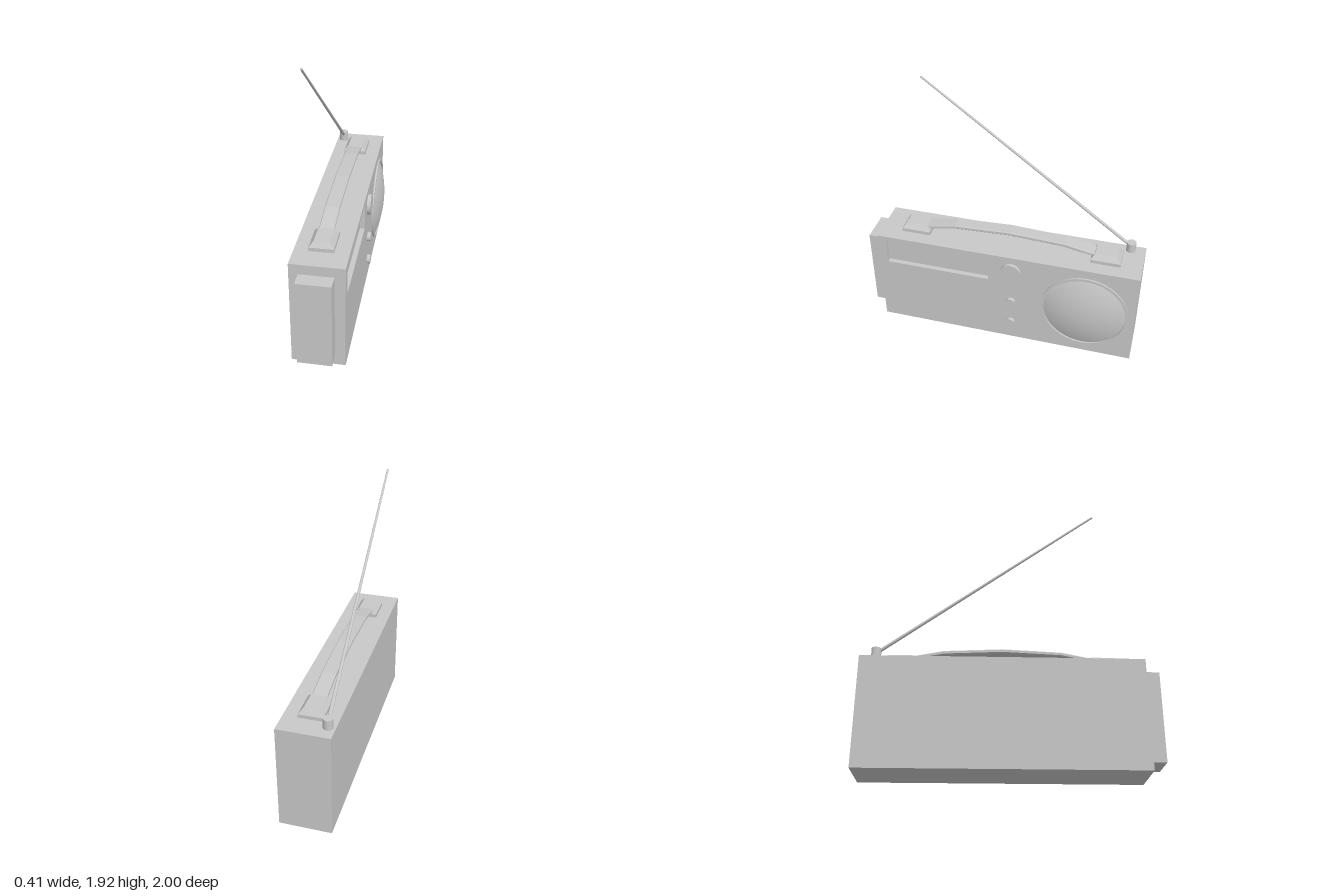
import * as THREE from 'three';

export function createModel() {
  const radio = new THREE.Group();
  radio.name = 'portableRadio';
  const grey = new THREE.MeshStandardMaterial({ color: 0xc8c8c8 });
  grey.name = 'plainGrey';

  const add = (name, geometry, x = 0, y = 0, z = 0, parent = radio) => {
    const mesh = new THREE.Mesh(geometry, grey);
    mesh.name = name;
    mesh.position.set(x, y, z);
    parent.add(mesh);
    return mesh;
  };
  const points = (list) => list.map(([z, y]) => new THREE.Vector2(z, y));
  const rect = (z0, y0, z1, y1) => points([[z0, y0], [z1, y0], [z1, y1], [z0, y1]]);

  // Extrudes a side outline (z, y) along x, ending at x = 0
  const sideExtrude = (shape, options) =>
    new THREE.ExtrudeGeometry(shape, { bevelEnabled: false, ...options }).rotateY(-Math.PI / 2);

  // Turns a cylinder or lathe made along y to point along +x
  const faceSide = (geometry) => geometry.rotateZ(-Math.PI / 2);

  // Case: solid back plus a face panel with a recessed tuning window
  const recess = 0.035;
  add('caseBack', new THREE.BoxGeometry(0.36 - recess, 0.76, 1.9), -0.03 - recess / 2, 0.38, -0.05);
  const panel = new THREE.Shape(rect(-1, 0, 0.9, 0.76));
  panel.holes.push(new THREE.Path(rect(0.07, 0.53, 0.84, 0.725)));
  add('facePanel', sideExtrude(panel, { depth: recess }), 0.15);
  add('endBlock', new THREE.BoxGeometry(0.23, 0.62, 0.1), -0.035, 0.38, 0.95);

  // Speaker: flat rim and domed grille
  const speaker = new THREE.Group();
  speaker.name = 'speaker';
  speaker.position.set(0.15, 0.38, -0.64);
  radio.add(speaker);
  const rim = new THREE.Shape().absarc(0, 0, 0.315, 0, Math.PI * 2);
  rim.holes.push(new THREE.Path().absarc(0, 0, 0.295, 0, Math.PI * 2, true));
  add('speakerRim', sideExtrude(rim, { depth: 0.012, curveSegments: 32 }), 0.012, 0, 0, speaker);
  const baseRadius = 0.295, height = 0.055;
  const sphereRadius = (baseRadius ** 2 + height ** 2) / (2 * height);
  const dome = new THREE.SphereGeometry(sphereRadius, 64, 12, 0, Math.PI * 2, 0,
    Math.asin(baseRadius / sphereRadius));
  dome.translate(0, height - sphereRadius, 0);
  add('speakerDome', faceSide(dome), 0, 0, 0, speaker);

  // Tuning knob and two small knobs
  for (const [name, radius, y] of [['tuningKnob', 0.075, 0.635],
    ['upperKnob', 0.035, 0.355], ['lowerKnob', 0.035, 0.155]]) {
    add(name, faceSide(new THREE.CylinderGeometry(radius, radius, 0.03, 40)), 0.16, y, -0.1);
  }

  // Handle mounts: a low block with a tapered top
  for (const [name, z] of [['frontHandleMount', 0.638], ['rearHandleMount', -0.745]]) {
    const mount = new THREE.Group();
    mount.name = name;
    mount.position.set(-0.0325, 0.76, z);
    radio.add(mount);
    add('mountBase', new THREE.BoxGeometry(0.165, 0.025, 0.21), 0, 0.0125, 0, mount);
    const taper = new THREE.BoxGeometry(0.165, 0.035, 0.21);
    const p = taper.attributes.position;
    for (let i = 0; i < p.count; i++) {
      if (p.getY(i) > 0) {
        p.setX(i, p.getX(i) * 0.64);
        p.setZ(i, p.getZ(i) * 0.76);
      }
    }
    taper.computeVertexNormals();
    add('mountTop', taper, 0, 0.0425, 0, mount);
  }

  // Handle: arched strap with chamfered edges
  const arch = [[-0.7, 0.793], [-0.65, 0.804], [-0.45, 0.844], [-0.05, 0.863],
    [0.35, 0.844], [0.55, 0.804], [0.6, 0.793]];
  const half = 0.008, bevel = 0.006;
  const strap = new THREE.Shape(points([
    ...arch.map(([z, y]) => [z, y - half]),
    ...arch.map(([z, y]) => [z, y + half]).reverse(),
  ]));
  add('handle', sideExtrude(strap, {
    depth: 0.1 - 2 * bevel, bevelEnabled: true, bevelSize: bevel, bevelThickness: bevel, bevelSegments: 1,
  }), 0.017 - bevel);

  // Aerial: pivot post and a thin tapered rod
  add('aerialPost', new THREE.CylinderGeometry(0.033, 0.033, 0.07, 32), -0.16, 0.795, -0.895);
  const foot = new THREE.Vector3(-0.16, 0.805, -0.885);
  const tip = new THREE.Vector3(-0.16, 1.913, 0.6);
  const along = tip.clone().sub(foot);
  const rod = add('aerialRod', new THREE.CylinderGeometry(0.007, 0.012, along.length(), 16));
  rod.position.copy(foot).addScaledVector(along, 0.5);
  rod.quaternion.setFromUnitVectors(new THREE.Vector3(0, 1, 0), along.normalize());

  return radio;
}
